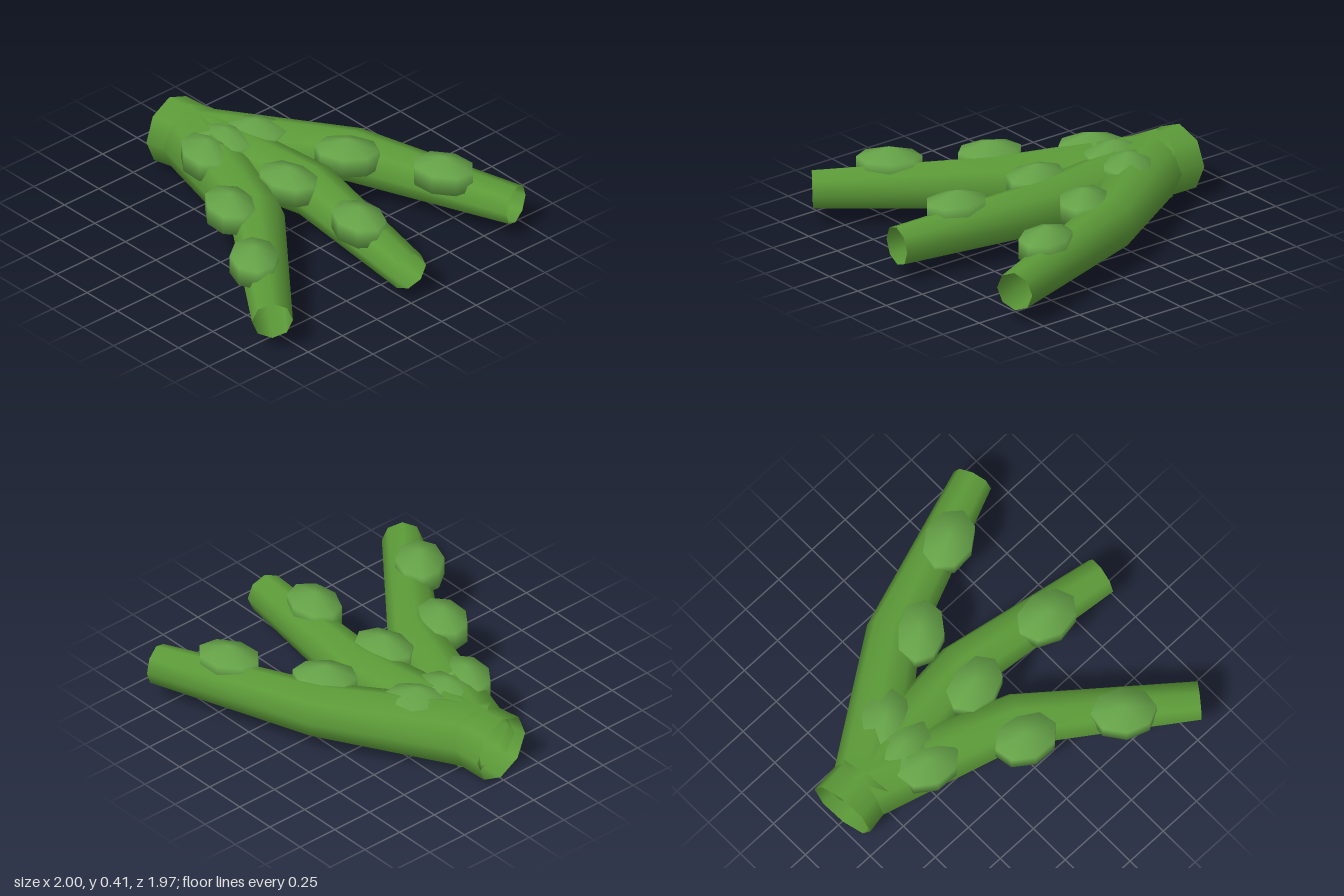
import * as THREE from 'three';

const SIDES = 8;
const UP = new THREE.Vector3(0, 1, 0);
const stemMaterial = new THREE.MeshStandardMaterial({ color: 0x5c9a38, side: THREE.DoubleSide });
const budMaterial = new THREE.MeshStandardMaterial({ color: 0x66a348 });

// Open tapering tube through a few points, mitred at the bends
function taperedTube(points, radii) {
  const positions = [], indices = [];
  points.forEach((p, i) => {
    const before = p.clone().sub(points[Math.max(i - 1, 0)]).normalize();
    const after = points[Math.min(i + 1, points.length - 1)].clone().sub(p).normalize();
    const dir = before.add(after).normalize();
    const right = dir.clone().cross(UP).normalize();
    const up = right.clone().cross(dir);
    for (let j = 0; j < SIDES; j++) {
      const a = (j / SIDES) * Math.PI * 2;
      const v = p.clone()
        .addScaledVector(right, Math.cos(a) * radii[i])
        .addScaledVector(up, Math.sin(a) * radii[i]);
      positions.push(v.x, v.y, v.z);
      if (i < points.length - 1) {
        const a0 = i * SIDES + j, b0 = i * SIDES + ((j + 1) % SIDES);
        indices.push(a0, a0 + SIDES, b0, b0, a0 + SIDES, b0 + SIDES);
      }
    }
  });
  const geometry = new THREE.BufferGeometry();
  geometry.setAttribute('position', new THREE.Float32BufferAttribute(positions, 3));
  geometry.setIndex(indices);
  geometry.computeVertexNormals();
  return geometry;
}

// Plan positions [x, z] of each branch's start, bend and tip, and of its buds
const BRANCHES = [
  { name: 'backBranch', path: [[-0.83, 0.03], [-0.07, -0.535], [0.86, -0.885]],
    buds: [[-0.48, -0.17], [0.01, -0.41], [0.49, -0.685]] },
  { name: 'middleBranch', path: [[-0.975, 0.005], [0.055, -0.13], [0.98, 0]],
    buds: [[-0.52, 0.01], [0.01, 0.015], [0.57, 0]] },
  { name: 'frontBranch', path: [[-0.85, -0.03], [0.065, 0.29], [0.865, 0.89]],
    buds: [[-0.49, 0.17], [0, 0.43], [0.49, 0.69]] },
];
const HEIGHTS = [0.2, 0.23, 0.2];
const RADII = [0.195, 0.152, 0.112];

export function createModel() {
  const model = new THREE.Group();
  model.name = 'forkedBranch';
  const budGeometry = new THREE.SphereGeometry(1, 8, 3);

  for (const { name, path, buds } of BRANCHES) {
    const branch = new THREE.Group();
    branch.name = name;

    // Stem
    const points = path.map(([x, z], i) => new THREE.Vector3(x, HEIGHTS[i], z));
    const stem = new THREE.Mesh(taperedTube(points, RADII), stemMaterial);
    stem.name = 'stem';
    branch.add(stem);

    // Flattened buds along the top, turned with the branch
    buds.forEach(([x, z], i) => {
      const bud = new THREE.Mesh(budGeometry, budMaterial);
      const from = path[i < 2 ? 0 : 1], to = path[i < 2 ? 1 : 2];
      bud.name = 'bud';
      bud.position.set(x, 0.31, z);
      bud.scale.set(0.21, 0.11, 0.155);
      bud.rotation.y = -Math.atan2(to[1] - from[1], to[0] - from[0]);
      branch.add(bud);
    });
    model.add(branch);
  }
  return model;
}
